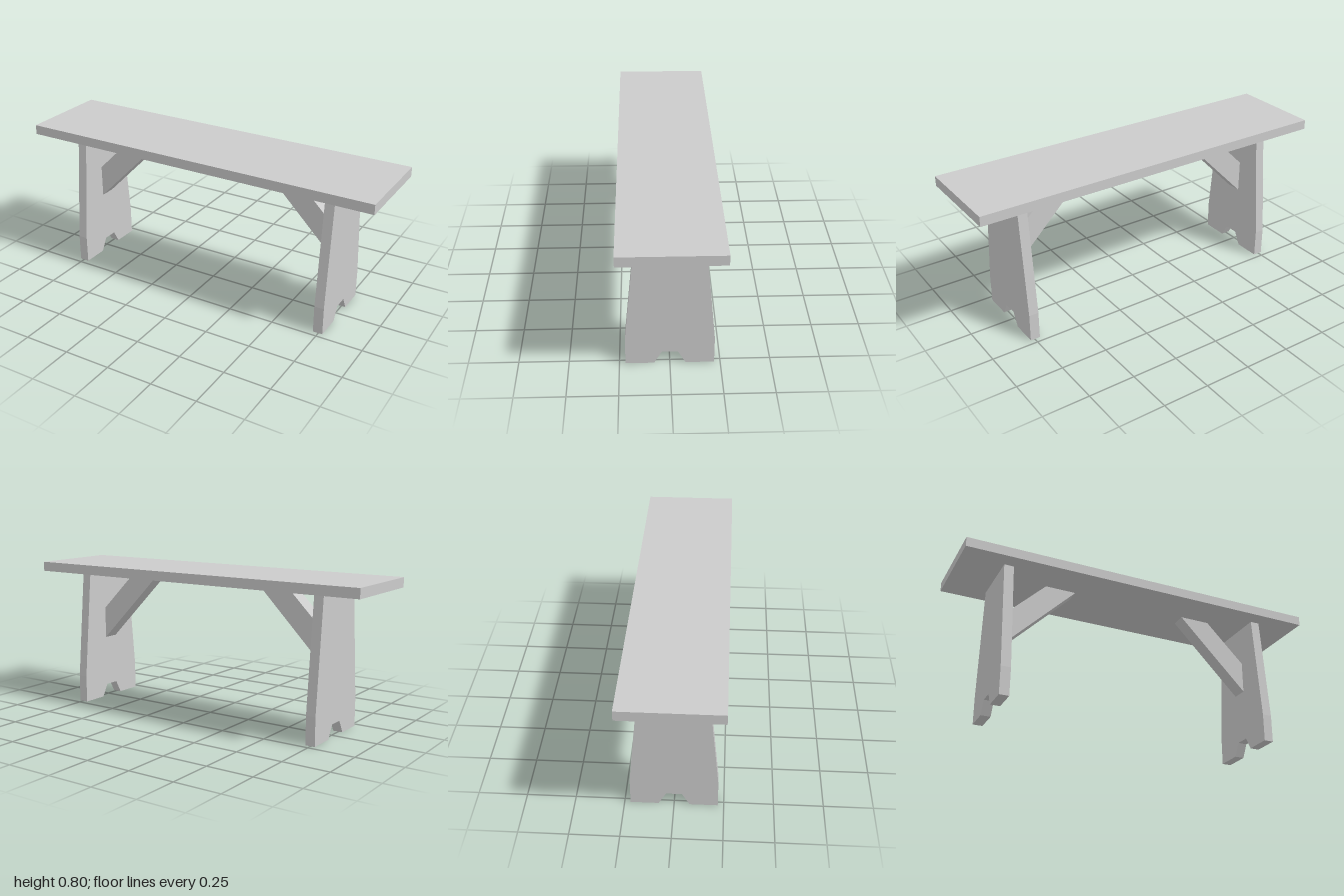
import * as THREE from 'three';

const material = new THREE.MeshStandardMaterial({ color: 0xcccccc, flatShading: true });

// Extrudes an outline to the given thickness, centred on its own z
function board(name, points, thickness) {
  const shape = new THREE.Shape(points.map(([x, y]) => new THREE.Vector2(x, y)));
  const geometry = new THREE.ExtrudeGeometry(shape, { depth: thickness, bevelEnabled: false });
  geometry.translate(0, 0, -thickness / 2);
  const mesh = new THREE.Mesh(geometry, material);
  mesh.name = name;
  return mesh;
}

export function createModel() {
  const group = new THREE.Group();
  group.name = 'bench';

  // Long plank seat
  const seat = new THREE.Mesh(new THREE.BoxGeometry(2, 0.052, 0.5), material);
  seat.name = 'seat';
  seat.position.y = 0.774;
  group.add(seat);

  // Tapered plank leg with a notched foot: right half, then mirrored
  const half = [[0.04, 0.07], [0.078, 0], [0.22, 0], [0.22, 0.15], [0.163, 0.75]];
  const legOutline = [...half, ...half.map(([x, y]) => [-x, y]).reverse()];

  // Diagonal brace from the leg up to the seat
  const braceOutline = [[0.72, 0.355], [0.72, 0.53], [0.497, 0.75], [0.327, 0.75]];

  for (const [side, label] of [[1, 'left'], [-1, 'right']]) {
    const leg = board(label + 'Leg', legOutline, 0.052);
    leg.rotation.y = Math.PI / 2;
    leg.position.x = side * 0.746;

    const brace = board(label + 'Brace', braceOutline, 0.085);
    if (side < 0) brace.rotation.y = Math.PI;
    group.add(leg, brace);
  }

  return group;
}
